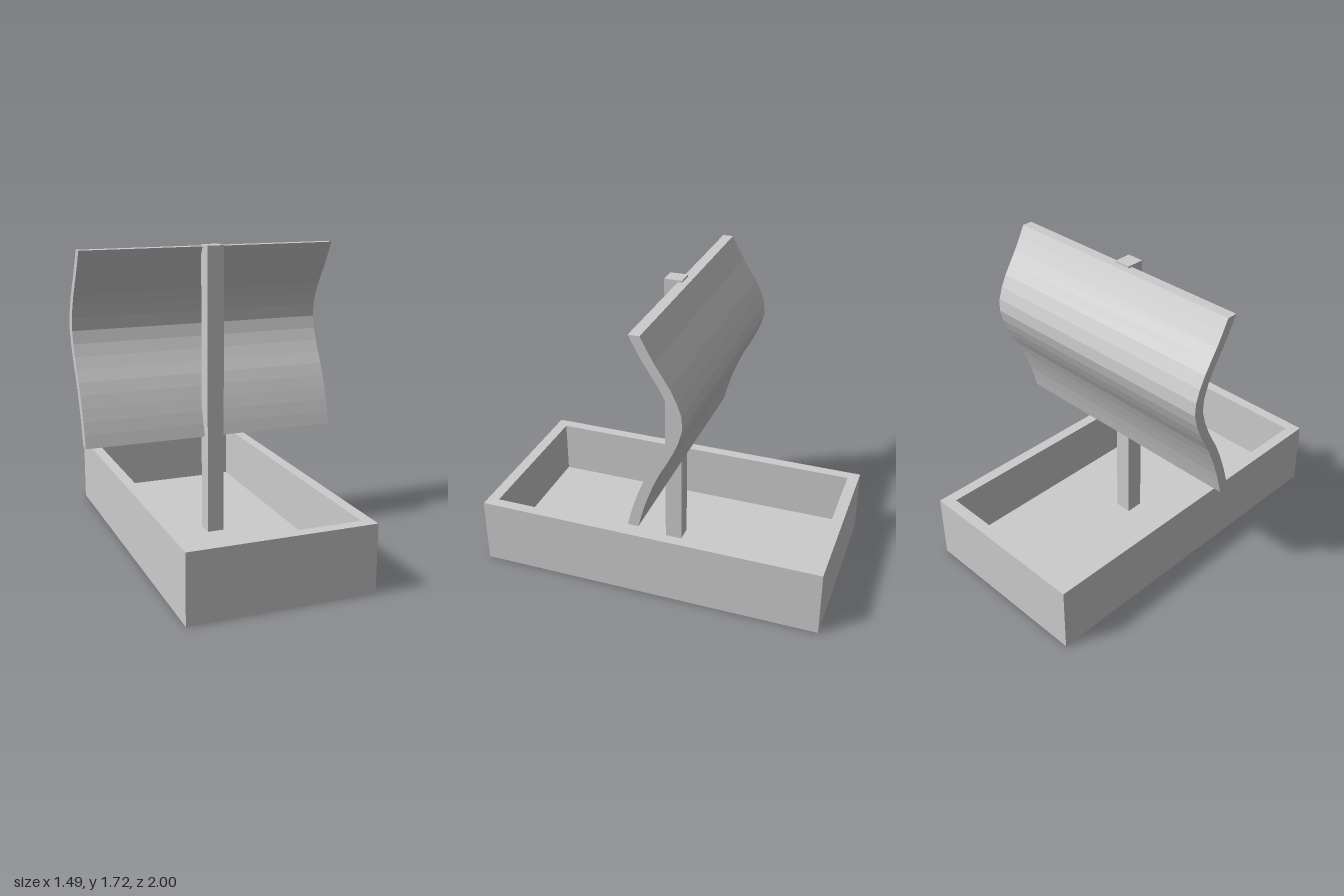
import * as THREE from 'three';

const material = new THREE.MeshStandardMaterial({ color: 0xcccccc, flatShading: true });

function part(name, geometry, x = 0, y = 0, z = 0) {
  const mesh = new THREE.Mesh(geometry, material);
  mesh.name = name;
  mesh.position.set(x, y, z);
  return mesh;
}

function rectangle(PathType, halfX, halfY) {
  return new PathType([
    new THREE.Vector2(-halfX, -halfY), new THREE.Vector2(halfX, -halfY),
    new THREE.Vector2(halfX, halfY), new THREE.Vector2(-halfX, halfY),
  ]);
}

export function createModel() {
  const model = new THREE.Group();
  model.name = 'sailRaft';

  const hullHeight = 0.385, floorTop = 0.065;

  // Open box hull: floor slab with a ring of walls on top
  const hull = new THREE.Group();
  hull.name = 'hull';
  const ring = rectangle(THREE.Shape, 0.52, 1);
  ring.holes.push(rectangle(THREE.Path, 0.457, 0.935));
  const walls = new THREE.ExtrudeGeometry(ring, { depth: hullHeight - floorTop, bevelEnabled: false });
  walls.rotateX(-Math.PI / 2);
  hull.add(part('hullWalls', walls, 0, floorTop));
  hull.add(part('hullFloor', new THREE.BoxGeometry(1.04, floorTop, 2), 0, floorTop / 2));
  model.add(hull);

  // Square mast standing on the floor
  const mastTop = 1.722;
  model.add(part('mast', new THREE.BoxGeometry(0.097, mastTop - floorTop, 0.1), 0, (mastTop + floorTop) / 2));

  // Billowing sail: side profile (z, y) swept along x
  const curve = new THREE.SplineCurve([
    [0, 0.63], [-0.04, 0.775], [-0.108, 0.95], [-0.19, 1.105],
    [-0.24, 1.265], [-0.2, 1.415], [-0.093, 1.59], [-0.027, 1.712],
  ].map(([z, y]) => new THREE.Vector2(z, y)));
  const front = curve.getSpacedPoints(16);
  const back = front.map((p) => new THREE.Vector2(p.x - 0.059, p.y)).reverse();
  const sailWidth = 1.49;
  const sail = new THREE.ExtrudeGeometry(new THREE.Shape([...front, ...back]), {
    depth: sailWidth, bevelEnabled: false,
  });
  sail.translate(0, 0, -sailWidth / 2);
  sail.rotateY(-Math.PI / 2);
  model.add(part('sail', sail));

  return model;
}
